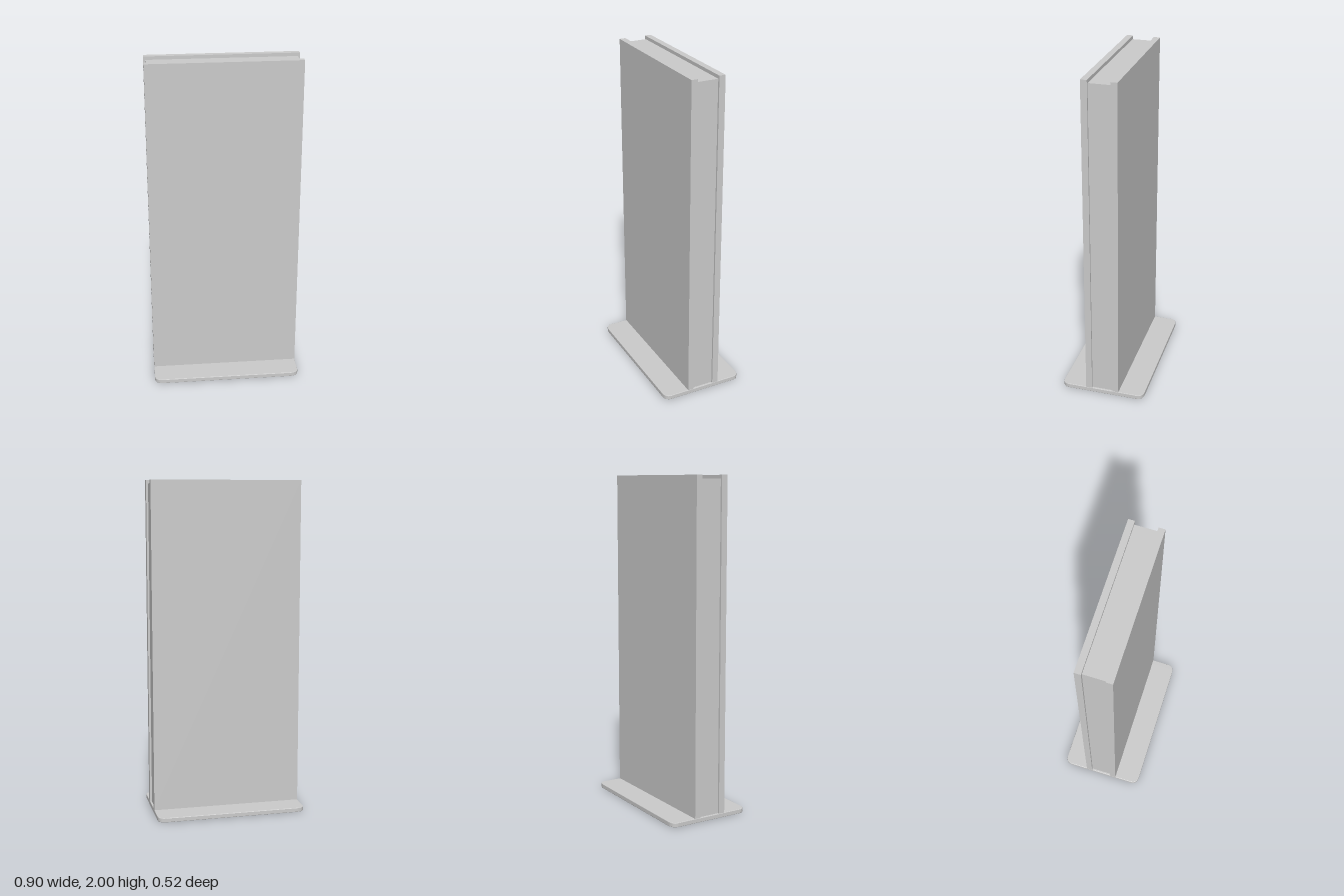
import * as THREE from 'three';

const material = new THREE.MeshStandardMaterial({ color: 0xcccccc });
const PLATE = 0.027; // base plate thickness

function box(name, w, h, d, z) {
  const mesh = new THREE.Mesh(new THREE.BoxGeometry(w, h, d), material);
  mesh.name = name;
  mesh.position.set(0, PLATE + h / 2, z);
  return mesh;
}

// Plan outline of the base with softened, slightly elongated corners
function plateOutline(hx, hz, rx, rz) {
  const s = new THREE.Shape();
  s.moveTo(hx, -hz + rz);
  s.lineTo(hx, hz - rz);
  s.quadraticCurveTo(hx, hz, hx - rx, hz);
  s.lineTo(-hx + rx, hz);
  s.quadraticCurveTo(-hx, hz, -hx, hz - rz);
  s.lineTo(-hx, -hz + rz);
  s.quadraticCurveTo(-hx, -hz, -hx + rx, -hz);
  s.lineTo(hx - rx, -hz);
  s.quadraticCurveTo(hx, -hz, hx, -hz + rz);
  return s;
}

export function createModel() {
  const group = new THREE.Group();
  group.name = 'floorStandingDisplay';

  // Base plate with a fine eased edge
  const bevel = 0.003;
  const plate = new THREE.ExtrudeGeometry(plateOutline(0.452 - bevel, 0.258 - bevel, 0.052, 0.04), {
    depth: PLATE - 2 * bevel, bevelEnabled: true, bevelThickness: bevel,
    bevelSize: bevel, bevelSegments: 2, curveSegments: 8,
  });
  plate.rotateX(-Math.PI / 2).translate(0, bevel, 0);
  const base = new THREE.Mesh(plate, material);
  base.name = 'basePlate';
  group.add(base);

  // Recessed core between the two face panels
  group.add(box('core', 0.88, 1.98 - PLATE, 0.13, 0));

  // Front and back panels
  for (const [name, side] of [['frontPanel', 1], ['backPanel', -1]]) {
    group.add(box(name, 0.904, 2 - PLATE, 0.038, side * 0.084));
  }
  return group;
}
